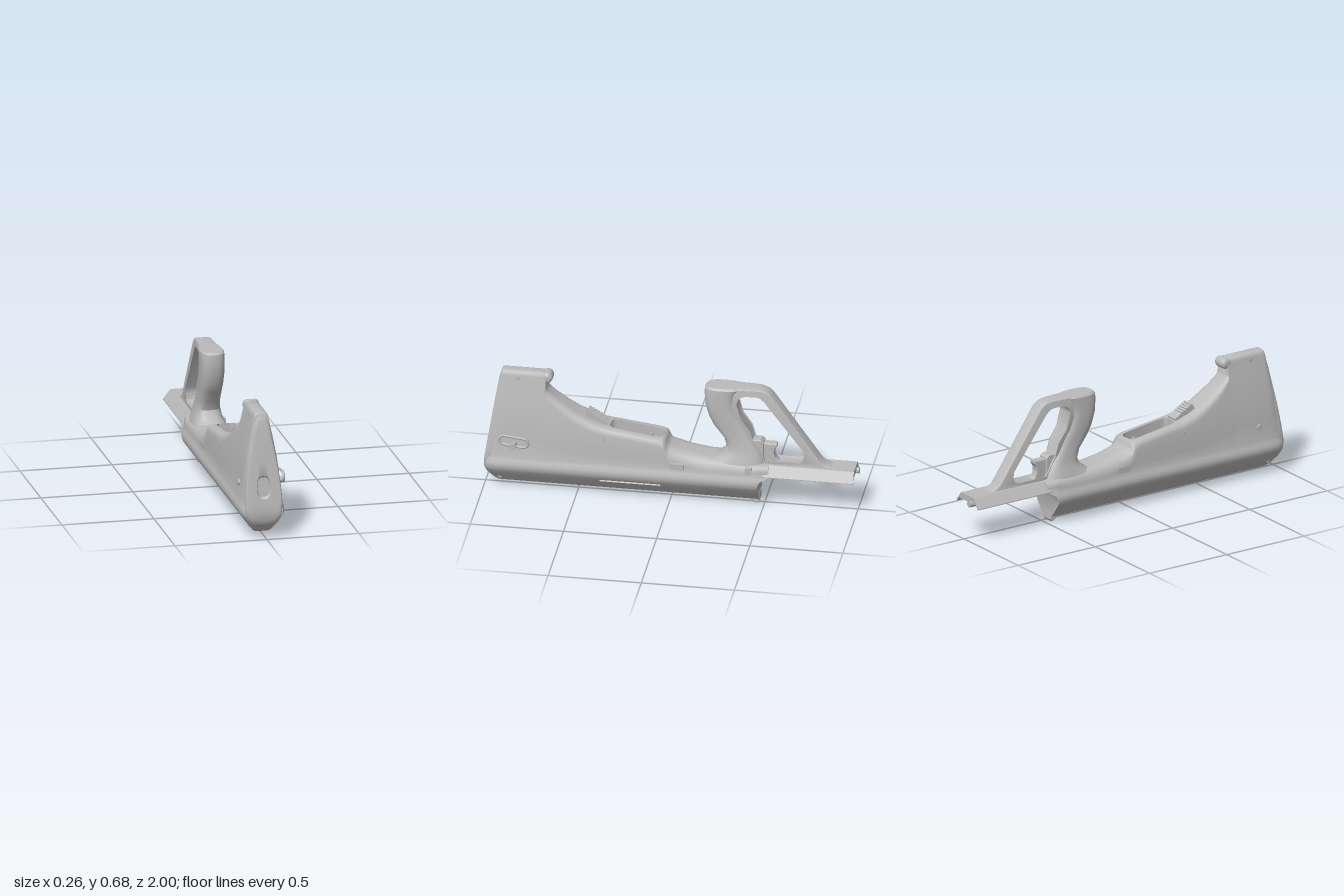
import * as THREE from 'three';
import { toCreasedNormals } from 'three/addons/utils/BufferGeometryUtils.js';

const grey = new THREE.MeshStandardMaterial({ color: 0xbababa, side: THREE.DoubleSide });
grey.name = 'matte grey';
const CX = -0.012; // centre line of the body

// piecewise linear lookup in [key, value] pairs with rising keys
function lookup(table, k) {
  if (k <= table[0][0]) return table[0][1];
  for (let i = 1; i < table.length; i++) {
    const [a, va] = table[i - 1], [b, vb] = table[i];
    if (k <= b) return va + (vb - va) * (k - a) / (b - a);
  }
  return table[table.length - 1][1];
}
const buttEnd = y => lookup([[0.02, 0.91], [0.035, 0.94], [0.055, 0.965], [0.085, 0.985], [0.13, 0.996], [0.17, 0.994], [0.68, 0.915]], y);
const halfWidth = y => lookup([[0.2, 0.104], [0.3, 0.1], [0.4, 0.089], [0.5, 0.072], [0.6, 0.051], [0.68, 0.034]], y);
const bend = v => Math.sign(v) * Math.abs(v) ** 0.7;

// skin over rings that are mirror-symmetric in x, capped at both ends
function loft(rings, crease = 0.6) {
  const n = rings[0].length, pos = rings.flat(2), idx = [], m = i => (n - i) % n;
  for (let r = 0; r < rings.length - 1; r++) for (let i = 0; i < n; i++) {
    const a = r * n + i, a2 = r * n + (i + 1) % n;
    idx.push(a, a + n, a2 + n, a, a2 + n, a2);
  }
  const o = (rings.length - 1) * n;
  for (let i = 0; i < n / 2; i++) {
    const j = i + 1, p = m(i), q = m(j);
    idx.push(i, j, q, i, q, p, o + i, o + q, o + j, o + i, o + p, o + q);
  }
  const g = new THREE.BufferGeometry();
  g.setAttribute('position', new THREE.Float32BufferAttribute(pos, 3));
  g.setIndex(idx);
  return toCreasedNormals(g, crease);
}

// one body cross-section: lower bulge, shoulder, rounded top rim, inner well
function bodyRing([z, yt, r, wi = 0, yi = yt, yb = 0, s = 1]) {
  const yr = yt - r, w = halfWidth(yr);
  const inner = wi || Math.min(0.03, 0.6 * (w - r));
  const half = [[0, 0.025], [0.034, 0.025], [0.045, 0.031], [0.055, 0.044], [0.083, 0.08], [0.107, 0.112], [0.117, 0.13], [0.12, 0.149],
    [0.118, 0.165], [0.111, 0.182], [0.105, 0.2]];
  for (const f of [0.25, 0.5, 0.75, 1]) {
    const y = 0.2 + (yr - 0.2) * f;
    half.push([halfWidth(y), y]);
  }
  for (const a of [0.39, 0.79, 1.18, 1.5708]) half.push([w - r + r * Math.cos(a), yr + r * Math.sin(a)]);
  half.push([inner, yt], [inner, yi], [0, yi]);
  const pts = half.map(([x, y]) => {
    y = Math.max(y, yb);
    return [x * s, y, z <= 0.9 ? z : 0.9 + (buttEnd(y) - 0.9) * (z - 0.9) / 0.1];
  });
  const left = pts.slice(1, -1).reverse().map(([x, y, zz]) => [-x, y, zz]);
  return [...pts, ...left].map(([x, y, zz]) => [x + CX, y, zz]);
}

// side profile given as [-z, y] points, extruded across x
function sideShape(points, half, hole, bevel = 0.006) {
  const shape = new THREE.Shape(points.map(p => new THREE.Vector2(...p)));
  if (hole) shape.holes.push(new THREE.Path(hole.map(p => new THREE.Vector2(...p))));
  const depth = 2 * (half - bevel);
  return new THREE.ExtrudeGeometry(shape, { depth, bevelSize: bevel, bevelThickness: bevel, bevelOffset: -bevel, bevelSegments: 3 })
    .translate(0, 0, -depth / 2).rotateY(Math.PI / 2).translate(CX, 0, 0);
}

export function createModel() {
  const model = new THREE.Group();
  const add = (name, geo, x = 0, y = 0, z = 0) => {
    const mesh = new THREE.Mesh(geo, grey);
    mesh.name = name;
    mesh.position.set(x, y, z);
    model.add(mesh);
    return mesh;
  };
  const box = (name, w, h, d, x, y, z) => add(name, new THREE.BoxGeometry(w, h, d), x, y, z);
  const pin = (name, r, x0, x1, y, z) =>
    add(name, new THREE.CylinderGeometry(r, r, x1 - x0, 20).rotateZ(Math.PI / 2), (x0 + x1) / 2, y, z);

  // main body: [z, top, rounding, well half width, well floor, bottom limit, width scale]
  const floor = 0.13, none = undefined;
  const stations = [
    [0.988, 0.665, 0.025, 0, none, 0, 0.87], [0.975, 0.675, 0.025, 0, none, 0, 0.93], [0.95, 0.68, 0.025, 0, none, 0, 0.98],
    [0.9, 0.68, 0.025], [0.8, 0.68, 0.025],
    [0.69, 0.68, 0.025], [0.675, 0.67, 0.025], [0.67, 0.59, 0.03], [0.655, 0.57, 0.035], [0.62, 0.54, 0.04], [0.56, 0.497, 0.045],
    [0.5, 0.46, 0.045], [0.43, 0.425, 0.042], [0.36, 0.402, 0.036], [0.331, 0.396, 0.032, 0.03],
    [0.33, 0.396, 0.032, 0.03, floor], [0.318, 0.395, 0.032, 0.044, floor], [0.295, 0.392, 0.032, 0.05, floor],
    [0.08, 0.363, 0.032, 0.05, floor], [0.055, 0.36, 0.036, 0.044, floor], [0.041, 0.358, 0.045, 0.03, floor],
    [0.04, 0.358, 0.045, 0.03], [0.03, 0.352, 0.055], [0.022, 0.338, 0.06], [0.015, 0.322, 0.06], [0, 0.312, 0.063], [-0.1, 0.286, 0.067],
    [-0.2, 0.268, 0.06], [-0.3, 0.262, 0.052], [-0.4, 0.255, 0.045], [-0.44, 0.252, 0.04], [-0.47, 0.25, 0.035, 0, none, 0, 0.97],
    [-0.471, 0.25, 0.035, 0, none, 0.13, 0.97], [-0.485, 0.249, 0.035, 0, none, 0.165, 0.94], [-0.53, 0.246, 0.035, 0, none, 0.19, 0.87],
  ];
  add('body', loft(stations.map(bodyRing)));

  // overhanging lip at the top of the butt
  const lip = Array.from({ length: 24 }, (_, i) => [-0.669 + 0.03 * Math.cos(i * Math.PI / 12), 0.65 + 0.03 * Math.sin(i * Math.PI / 12)]);
  add('buttLip', toCreasedNormals(sideShape(lip, 0.042, null, 0.018), 0.7));

  // butt plate with oval recess, following the sloping end
  const right = [[0.05, 0.066], [0.085, 0.105], [0.1, 0.17], [0.099, 0.24], [0.082, 0.4], [0.054, 0.55], [0.036, 0.635], [0.02, 0.665]];
  const outline = [[0, 0.056], ...right, [0, 0.673], ...right.slice().reverse().map(([x, y]) => [-x, y])];
  const edge = new THREE.CatmullRomCurve3(outline.map(([x, y]) => new THREE.Vector3(x, y, 0)), true).getPoints(72).slice(0, -1);
  // each ring: [blend from oval to outline, offset along z]
  const plateRings = [[-0.15, -0.012], [0, -0.001], [0.02, 0.003], [0.25, 0.003], [0.5, 0.003], [0.75, 0.003], [0.9, 0.002], [0.97, -0.003], [1, -0.012], [1, -0.03]];
  add('buttPlate', loft(plateRings.map(([f, dz]) => edge.map((p, i) => {
    const t = i / 36 * Math.PI, k = 1 + Math.min(f, 0), g = Math.max(f, 0);
    const x = THREE.MathUtils.lerp(0.035 * k * bend(Math.sin(t)), p.x, g);
    const y = THREE.MathUtils.lerp(0.282 - 0.058 * k * bend(Math.cos(t)), p.y, g);
    return [CX + x, y, buttEnd(y) + dz];
  })), 0.7));

  // pistol grip: [y, front z, back z, half width]
  const gripRings = [
    [0.235, -0.19, -0.51, 0.09], [0.265, -0.235, -0.5, 0.084], [0.29, -0.275, -0.49, 0.074], [0.33, -0.296, -0.47, 0.067], [0.38, -0.28, -0.435, 0.061],
    [0.45, -0.225, -0.405, 0.06], [0.5, -0.2, -0.372, 0.062], [0.57, -0.18, -0.345, 0.064], [0.64, -0.175, -0.352, 0.064],
    [0.67, -0.178, -0.375, 0.063], [0.68, -0.188, -0.37, 0.055],
  ].map(([y, zf, zb, w]) => Array.from({ length: 40 }, (_, i) => {
    const t = i / 20 * Math.PI;
    return [CX + w * bend(Math.sin(t)), y, (zf + zb) / 2 - (zf - zb) / 2 * bend(Math.cos(t))];
  }));
  add('grip', loft(gripRings));

  // large hand guard, wider where it meets the grip
  const guard = sideShape(
    [[0.29, 0.68], [0.45, 0.68], [0.475, 0.679], [0.498, 0.674], [0.52, 0.663], [0.54, 0.645], [0.79, 0.29], [0.805, 0.271], [0.825, 0.257], [0.86, 0.245],
      [0.86, 0.225], [0.42, 0.225], [0.39, 0.3], [0.35, 0.42], [0.29, 0.52]], 0.04,
    [[0.345, 0.59], [0.355, 0.62], [0.37, 0.637], [0.4, 0.645], [0.45, 0.645], [0.48, 0.638], [0.505, 0.615], [0.715, 0.335], [0.721, 0.3],
      [0.71, 0.268], [0.685, 0.255], [0.5, 0.255], [0.44, 0.36], [0.42, 0.43], [0.37, 0.5]]);
  const gp = guard.attributes.position;
  for (let i = 0; i < gp.count; i++) {
    const k = 1 + 0.3 * THREE.MathUtils.clamp((0.5 + gp.getZ(i)) / 0.2, 0, 1);
    gp.setX(i, CX + (gp.getX(i) - CX) * k);
  }
  add('handGuard', toCreasedNormals(guard, 0.6));

  // trigger and the housing behind it
  add('triggerHousing', sideShape([[0.4, 0.24], [0.4, 0.375], [0.48, 0.375], [0.495, 0.36], [0.495, 0.24]], 0.032));
  add('trigger', sideShape([[0.49, 0.24], [0.49, 0.355], [0.565, 0.355], [0.565, 0.34], [0.553, 0.32], [0.55, 0.295], [0.56, 0.27], [0.58, 0.25], [0.58, 0.24]], 0.022));

  // rear rail: shallow channel open underneath
  const rail = new THREE.Shape([[-0.1, 0.19], [-0.092, 0.19], [-0.08, 0.212], [0.08, 0.212], [0.092, 0.19],
    [0.1, 0.19], [0.1, 0.195], [0.06, 0.246], [-0.06, 0.246], [-0.1, 0.195]].map(p => new THREE.Vector2(...p)));
  add('rail', new THREE.ExtrudeGeometry(rail, { depth: 0.49, bevelEnabled: false }), CX, 0, -0.985);
  for (const s of [-1, 1]) {
    box('slotEdge', 0.008, 0.008, 0.3, CX + s * 0.025, 0.21, -0.69);
    box('slotEnd', 0.058, 0.008, 0.008, CX, 0.21, -0.69 + s * 0.15);
  }
  box('railBlock', 0.07, 0.024, 0.05, CX, 0.206, -0.91);
  add('railBoss', new THREE.CylinderGeometry(0.017, 0.017, 0.06, 20).rotateX(Math.PI / 2), CX - 0.035, 0.208, -0.97);

  // catch under the rear of the body
  add('catch', sideShape([[0.41, 0.035], [0.435, 0.012], [0.45, 0], [0.465, 0], [0.473, 0.012], [0.473, 0.06], [0.42, 0.06]], 0.034));

  // cross bolt, pins and side details
  box('crossBolt', 0.2, 0.036, 0.036, 0, 0.225, -0.425);
  pin('slingPin', 0.017, -0.122, 0.13, 0.278, 0.834);
  pin('upperPin', 0.013, CX - 0.044, CX + 0.044, 0.64, 0.82);
  pin('lowerPin', 0.013, CX - 0.068, CX + 0.068, 0.065, 0.915);
  pin('middlePin', 0.013, CX - 0.098, CX + 0.098, 0.34, 0.355);
  for (const s of [-1, 1]) box('sideTab', 0.02, 0.034, 0.075, 0.095 * s + (s < 0 ? CX : 0), 0.222, -0.04);
  box('sidePlate', 0.016, 0.062, 0.325, 0.067, 0.076, 0.212).rotation.z = -0.66;

  // sling loop
  const loopPoints = Array.from({ length: 24 }, (_, i) => {
    const t = i / 24 * 2 * Math.PI, c = Math.cos(t);
    return new THREE.Vector3(0, 0.026 * Math.sin(t), 0.026 * c + Math.sign(Math.round(c * 1e6)) * 0.052);
  });
  const loop = add('slingLoop', new THREE.TubeGeometry(new THREE.CatmullRomCurve3(loopPoints, true), 64, 0.007, 10, true), 0.112, 0.304, 0.832);
  loop.rotation.x = -0.12;

  // ridged latch behind the well
  const latch = new THREE.Group();
  latch.name = 'latch';
  latch.position.set(CX, 0.423, 0.4);
  latch.rotation.x = -0.5;
  const part = (name, w, h, d, y, z) => {
    const mesh = new THREE.Mesh(new THREE.BoxGeometry(w, h, d), grey);
    mesh.name = name;
    mesh.position.set(0, y, z);
    latch.add(mesh);
  };
  part('latchBody', 0.066, 0.035, 0.13, 0, 0);
  for (let i = 0; i < 5; i++) part('latchRidge', 0.066, 0.006, 0.009, 0.019, -0.01 + i * 0.017);
  model.add(latch);

  // ribs inside the well
  for (const s of [-1, 1]) for (const z of [0.12, 0.25]) box('wellRib', 0.012, 0.2, 0.016, CX + s * 0.046, 0.23, z);
  return model;
}
